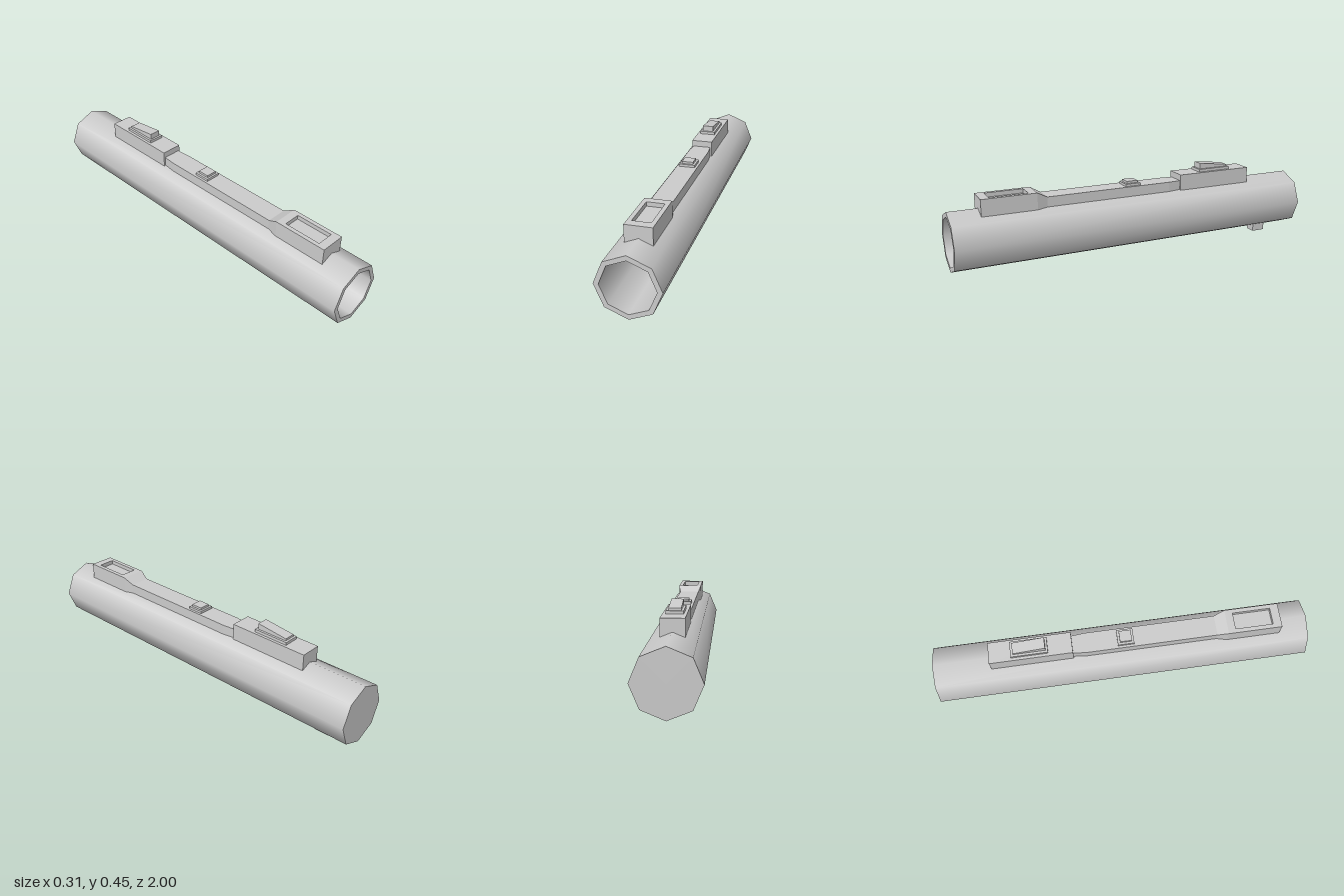
import * as THREE from 'three';

const CY = 0.184, R = 0.156, BORE = 0.131, SIDES = 8;

// Cross-section at depth z: half width w, from base to top; mid is the height of the underside's centre.
const section = (z, w, top, base, mid = base) =>
  [[0, mid, z], [w, base, z], [w, top, z], [-w, top, z], [-w, base, z]];

// Flat-faced solid through cross-sections listed from front to back.
function loft(sections) {
  const pos = [];
  const tri = (...pts) => pts.forEach(p => pos.push(...p));
  const n = sections[0].length;
  const front = sections[0], back = sections[sections.length - 1];
  for (let i = 1; i < n - 1; i++) {
    tri(front[0], front[i], front[i + 1]);
    tri(back[0], back[i + 1], back[i]);
  }
  for (let s = 0; s < sections.length - 1; s++) {
    const a = sections[s], b = sections[s + 1];
    for (let i = 0; i < n; i++) {
      const j = (i + 1) % n;
      tri(a[i], b[i], b[j]);
      tri(a[i], b[j], a[j]);
    }
  }
  const g = new THREE.BufferGeometry();
  g.setAttribute('position', new THREE.Float32BufferAttribute(pos, 3));
  g.computeVertexNormals();
  return g;
}

export function createModel() {
  const model = new THREE.Group();
  model.name = 'handle';
  const mat = new THREE.MeshStandardMaterial({ color: 0xcccccc });
  const add = (name, geo, parent = model) => {
    const mesh = new THREE.Mesh(geo, mat);
    mesh.name = name;
    parent.add(mesh);
    return mesh;
  };
  const box = (name, w, y0, y1, z0, z1) =>
    add(name, new THREE.BoxGeometry(2 * w, y1 - y0, z1 - z0).translate(0, (y0 + y1) / 2, (z0 + z1) / 2));

  // Eight-sided tube: each profile step is its own lathe so its edges stay sharp
  const tube = new THREE.Group();
  tube.name = 'tube';
  model.add(tube);
  const profile = [[0, -1], [R, -1], [R, 1], [BORE, 1], [BORE, 0.3], [0, 0.3]];
  const names = ['backCap', 'outerWall', 'frontRim', 'boreWall', 'boreEnd'];
  names.forEach((name, i) => {
    const pts = [profile[i], profile[i + 1]].map(p => new THREE.Vector2(...p));
    add(name, new THREE.LatheGeometry(pts, SIDES).rotateX(Math.PI / 2).translate(0, CY, 0), tube);
  });

  // Raised front block: solid base with a rectangular frame around a shallow recess
  const low = 0.305, mid = 0.325, floor = 0.378;
  add('frontBlock', loft([section(0.845, 0.067, floor, low, mid), section(0.56, 0.067, floor, low, mid)]));
  const rect = (path, w, z0, z1) => {
    path.moveTo(-w, -z1);
    path.lineTo(w, -z1);
    path.lineTo(w, -z0);
    path.lineTo(-w, -z0);
    path.closePath();
    return path;
  };
  const frame = rect(new THREE.Shape(), 0.067, 0.56, 0.845);
  frame.holes.push(rect(new THREE.Path(), 0.045, 0.6, 0.8));
  add('recessFrame', new THREE.ExtrudeGeometry(frame, { depth: 0.4 - floor, bevelEnabled: false })
    .rotateX(-Math.PI / 2).translate(0, floor, 0));

  // Lower rail joining the two blocks, tapering at both ends
  add('rail', loft([
    section(0.56, 0.067, 0.4, low, mid),
    section(0.505, 0.055, 0.37, low, mid),
    section(-0.19, 0.055, 0.37, low, mid),
    section(-0.265, 0.048, 0.37, low, mid),
  ]));

  // Rear block with its pad and sloping switch
  add('rearBlock', loft([section(-0.26, 0.057, 0.403, low, mid), section(-0.695, 0.057, 0.403, low, mid)]));
  box('switchPad', 0.042, 0.4, 0.418, -0.58, -0.387);
  add('switch', loft([section(-0.398, 0.03, 0.449, 0.415), section(-0.568, 0.03, 0.429, 0.415)]));

  // Stepped button in the middle of the rail
  box('buttonPad', 0.042, 0.367, 0.383, -0.022, 0.064);
  box('button', 0.03, 0.38, 0.395, -0.01, 0.053);

  // Stud under the back end
  box('stud', 0.03, 0, 0.045, -0.853, -0.777);

  return model;
}
